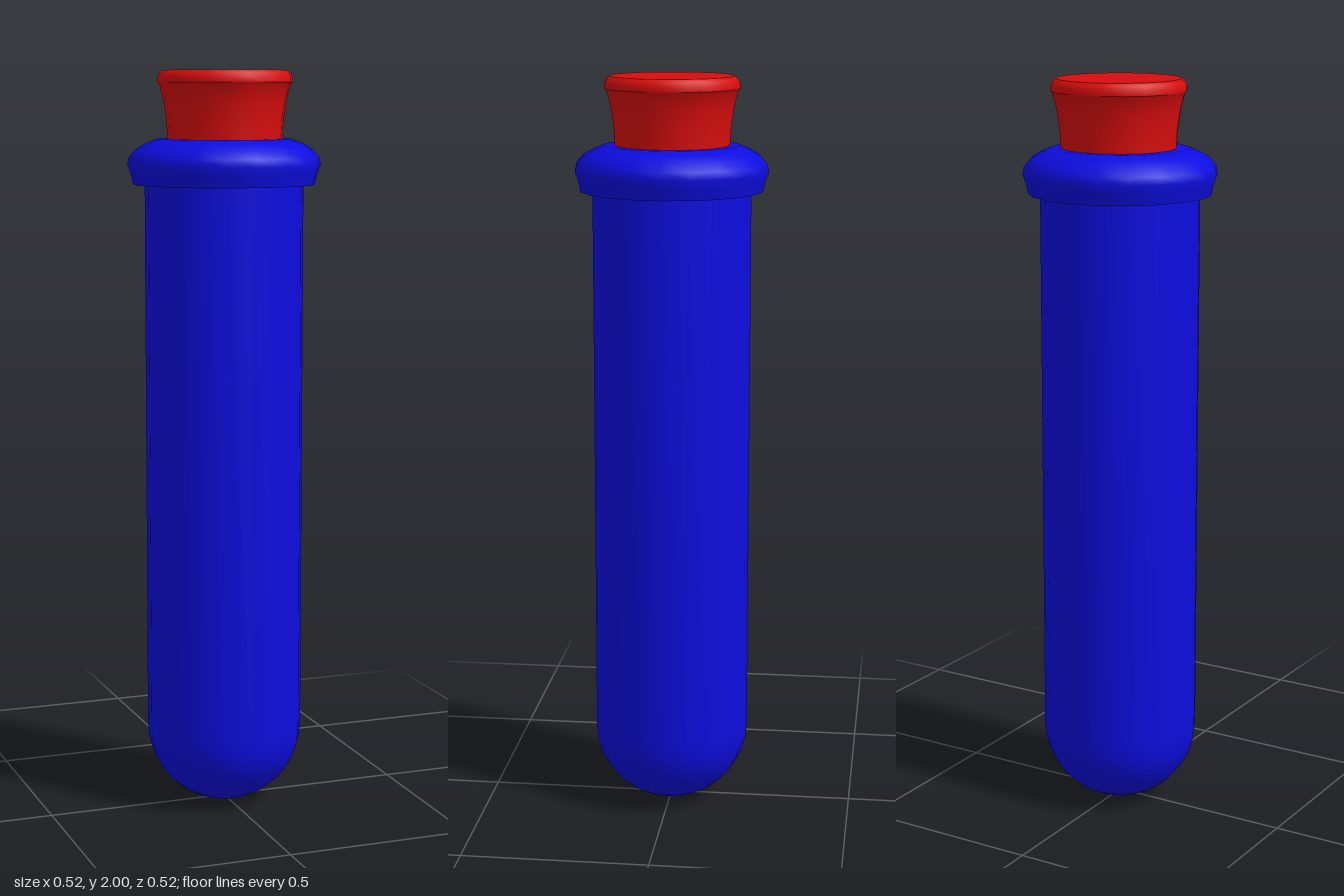
import * as THREE from 'three';
import { toCreasedNormals } from 'three/addons/utils/BufferGeometryUtils.js';

const SIDES = 20;

// Turned part from [radius, height] pairs, listed bottom to top on the outside
function turned(name, profile, material, crease) {
  const points = profile.map(([r, y]) => new THREE.Vector2(r, y));
  // start on the z axis so corners fall on both axes
  const geometry = toCreasedNormals(new THREE.LatheGeometry(points, SIDES), crease);
  const mesh = new THREE.Mesh(geometry, material);
  mesh.name = name;
  return mesh;
}

export function createModel() {
  const group = new THREE.Group();
  group.name = 'stopperedTube';
  const glass = new THREE.MeshStandardMaterial({ color: 0x0d0de0 });
  const red = new THREE.MeshStandardMaterial({ color: 0xd80d0d });

  // Tube: round bottom and straight wall
  const R = 0.212;
  const wall = [];
  for (let i = 0; i <= 8; i++) {
    const a = (i / 8) * Math.PI / 2;
    wall.push([R * Math.sin(a), R * (1 - Math.cos(a))]);
  }
  wall.push([R, 1.72]);
  group.add(turned('tubeBody', wall, glass, 0.7));

  // Collar: flat underside, bulging side, sloped shoulder and mouth
  group.add(turned('collar', [
    [0.205, 1.70], [0.243, 1.70], [0.249, 1.727], [0.258, 1.752], [0.254, 1.772],
    [0.236, 1.793], [0.208, 1.809], [0.18, 1.82], [0.14, 1.82],
  ], glass, 0.9));

  // Stopper: waisted plug with a flared, chamfered head
  const stopper = turned('stopper', [
    [0, 1.74], [0.15, 1.74], [0.153, 1.82], [0.156, 1.87], [0.163, 1.918], [0.173, 1.96],
    [0.179, 1.968], [0.179, 1.982], [0.174, 1.992], [0.165, 2.0], [0, 2.0],
  ], red, 0.6);
  stopper.position.set(0.003, 0, -0.002);
  group.add(stopper);

  return group;
}
